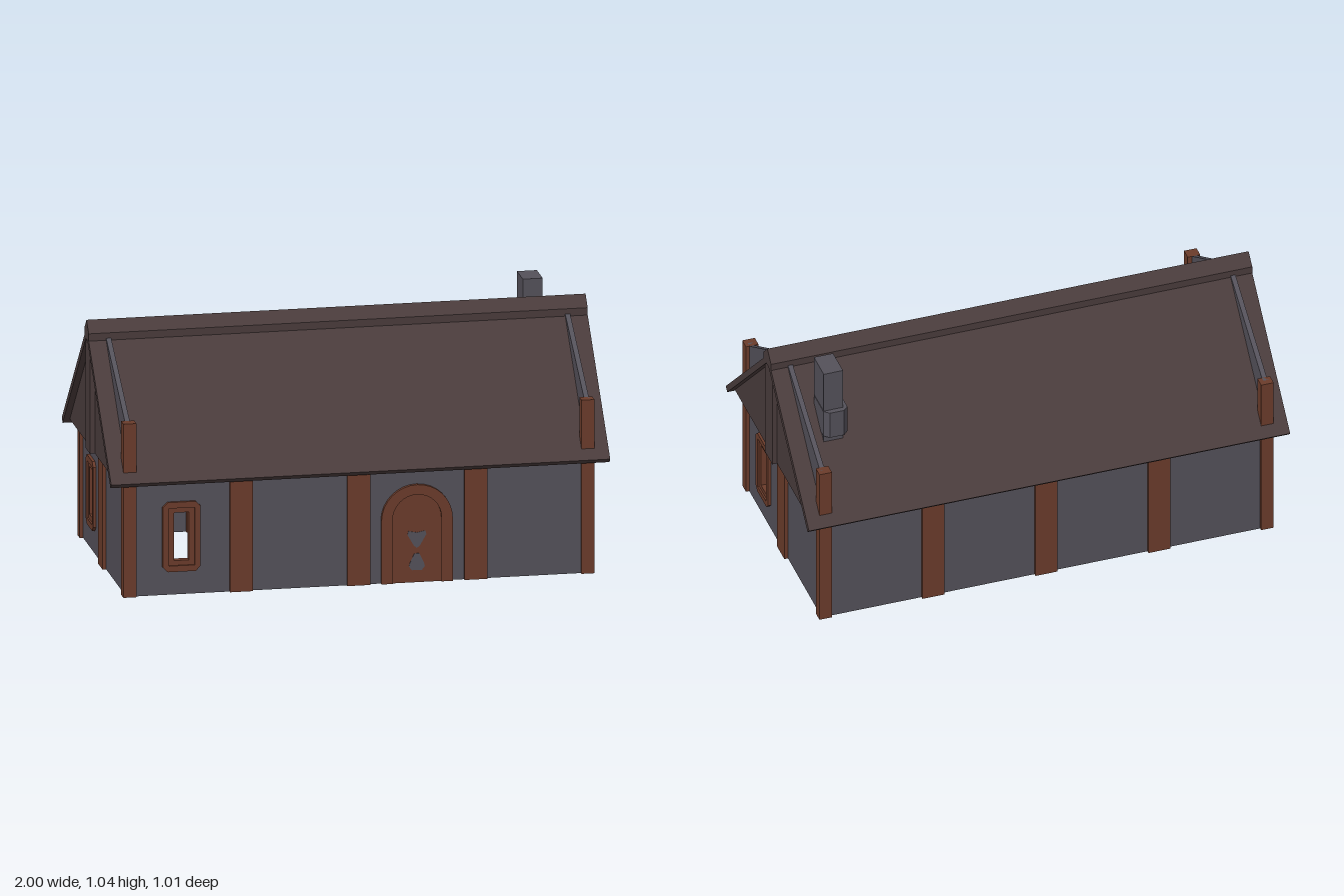
import * as THREE from 'three';

const stone = new THREE.MeshStandardMaterial({ color: 0x54515a });
stone.name = 'grey plaster';
const roofMat = new THREE.MeshStandardMaterial({ color: 0x4a3c3c });
roofMat.name = 'dark roof brown';
const wood = new THREE.MeshStandardMaterial({ color: 0x6b3c2b });
wood.name = 'reddish wood';

const WALL_Z = 0.4475, END_X = 0.92, EAVE = 0.475;

function add(parent, name, geometry, material, x = 0, y = 0, z = 0) {
  const mesh = new THREE.Mesh(geometry, material);
  mesh.name = name;
  mesh.position.set(x, y, z);
  parent.add(mesh);
  return mesh;
}

const box = (w, h, d) => new THREE.BoxGeometry(w, h, d);
const poly = (pts) => new THREE.Shape(pts.map(([x, y]) => new THREE.Vector2(x, y)));
const rect = (cx, cy, w, h) => [
  [cx - w / 2, cy - h / 2], [cx + w / 2, cy - h / 2],
  [cx + w / 2, cy + h / 2], [cx - w / 2, cy + h / 2]];

// rectangle with cut corners
function chamfered(w, h, c) {
  const a = w / 2, b = h / 2;
  return [[-a + c, -b], [a - c, -b], [a, -b + c], [a, b - c],
    [a - c, b], [-a + c, b], [-a, b - c], [-a, -b + c]];
}

// round-headed outline standing on y = 0
function arch(half, top) {
  const pts = [[-half, 0], [half, 0]];
  for (let i = 0; i <= 16; i++) {
    const t = (i / 16) * Math.PI;
    pts.push([half * Math.cos(t), top - half + half * Math.sin(t)]);
  }
  return pts;
}

// extrusion centred on z = 0
function slab(pts, depth, holes = []) {
  const shape = poly(pts);
  holes.forEach((h) => shape.holes.push(poly(h)));
  return new THREE.ExtrudeGeometry(shape, { depth, bevelEnabled: false }).translate(0, 0, -depth / 2);
}

function addWindow(parent, x, y, z) {
  const g = new THREE.Group();
  g.name = 'window';
  g.position.set(x, y, z);
  add(g, 'windowOuterFrame', slab(chamfered(0.152, 0.284, 0.02), 0.044, [rect(0, 0, 0.104, 0.235)]), wood);
  add(g, 'windowInnerFrame', slab(rect(0, 0, 0.104, 0.235), 0.03, [rect(0, 0, 0.06, 0.195)]), wood);
  parent.add(g);
}

function addDoor(parent, x, z) {
  const g = new THREE.Group();
  g.name = 'door';
  g.position.set(x, 0, z);
  add(g, 'doorFrame', slab([[0.098, 0], [0.143, 0], ...arch(0.143, 0.4).slice(2),
    [-0.143, 0], [-0.098, 0], ...arch(0.098, 0.36).slice(2).reverse()], 0.05), wood);
  add(g, 'doorLeaf', slab(arch(0.098, 0.36), 0.034), wood);
  // inlaid ornament, showing on both faces
  add(g, 'doorUpperInlay', slab([[-0.012, 0.15], [0, 0.14], [0.012, 0.15], [0.038, 0.195],
    [0.034, 0.21], [0, 0.203], [-0.034, 0.21], [-0.038, 0.195]], 0.038), stone);
  add(g, 'doorLowerInlay', slab([[-0.02, 0.05], [0.02, 0.05], [0.032, 0.065], [0.028, 0.08],
    [0.01, 0.118], [-0.01, 0.118], [-0.028, 0.08], [-0.032, 0.065]], 0.038), stone);
  parent.add(g);
}

// end wall, facing local +z
function makeEnd() {
  const g = new THREE.Group();
  add(g, 'endWall', slab([[-0.445, 0], [0.445, 0], [0.445, 0.709], [0.425, 0.709], [0.045, 0.943],
    [-0.045, 0.943], [-0.425, 0.709], [-0.445, 0.709]], 0.02, [rect(-0.238, 0.237, 0.08, 0.21)]),
  stone, 0, 0, END_X);
  add(g, 'endPost', box(0.09, EAVE, 0.05), wood, 0, EAVE / 2, END_X);
  add(g, 'gablePost', box(0.09, 0.475, 0.06), roofMat, 0, EAVE + 0.2375, 0.965);
  addWindow(g, -0.238, 0.237, END_X);
  return g;
}

export function createModel() {
  const model = new THREE.Group();
  model.name = 'cottage';

  // long walls and their posts
  add(model, 'frontWall', slab(rect(0, EAVE / 2, 1.84, EAVE), 0.02,
    [rect(-0.71, 0.237, 0.08, 0.21)]), stone, 0, 0, WALL_Z);
  add(model, 'backWall', box(1.84, EAVE, 0.02), stone, 0, EAVE / 2, -WALL_Z);
  addWindow(model, -0.71, 0.237, WALL_Z);
  addDoor(model, 0.233, WALL_Z);
  for (const s of [1, -1]) {
    for (const x of [-0.47, 0, 0.47]) {
      add(model, 'wallPost', box(0.092, EAVE, 0.045), wood, x, EAVE / 2, s * WALL_Z);
    }
    for (const x of [-0.918, 0.918]) {
      add(model, 'cornerPost', box(0.052, 0.709, 0.045), wood, x, 0.3545, s * WALL_Z);
    }
  }

  // ceiling beams
  for (const x of [-0.47, 0, 0.47]) {
    add(model, 'ceilingBeam', box(0.02, 0.02, 0.88), stone, x, EAVE - 0.008, 0);
  }

  // both ends
  for (const s of [1, -1]) {
    const end = makeEnd();
    end.name = s > 0 ? 'leftEnd' : 'rightEnd';
    end.rotation.y = s * Math.PI / 2;
    model.add(end);
  }

  // roof: filled core, two sloping slabs and a ridge cap, extruded along x
  const roof = new THREE.Group();
  roof.name = 'roof';
  roof.rotation.y = Math.PI / 2;
  add(roof, 'roofCore', slab([[-0.472, EAVE], [0.472, EAVE], [0, 0.947]], 1.95), roofMat);
  for (const s of [1, -1]) {
    add(roof, 'roofSlope', slab([[s * 0.507, 0.473], [0, 0.98], [0, 0.945], [s * 0.489, 0.456]], 2), roofMat);
  }
  add(roof, 'ridgeCap', slab([[-0.045, 0.934], [0, 0.93], [0.045, 0.934], [0.045, 0.965],
    [0, 1.01], [-0.045, 0.965]], 2), roofMat);
  model.add(roof);

  // chimney
  const chimney = new THREE.Group();
  chimney.name = 'chimney';
  add(chimney, 'chimneyStack', box(0.08, 0.38, 0.12), stone, 0.818, 0.85, -0.21);
  const collar = slab(chamfered(0.1, 0.156, 0.02), 0.12).rotateX(-Math.PI / 2);
  add(chimney, 'chimneyCollar', collar, stone, 0.81, 0.8, -0.213);
  model.add(chimney);

  return model;
}
